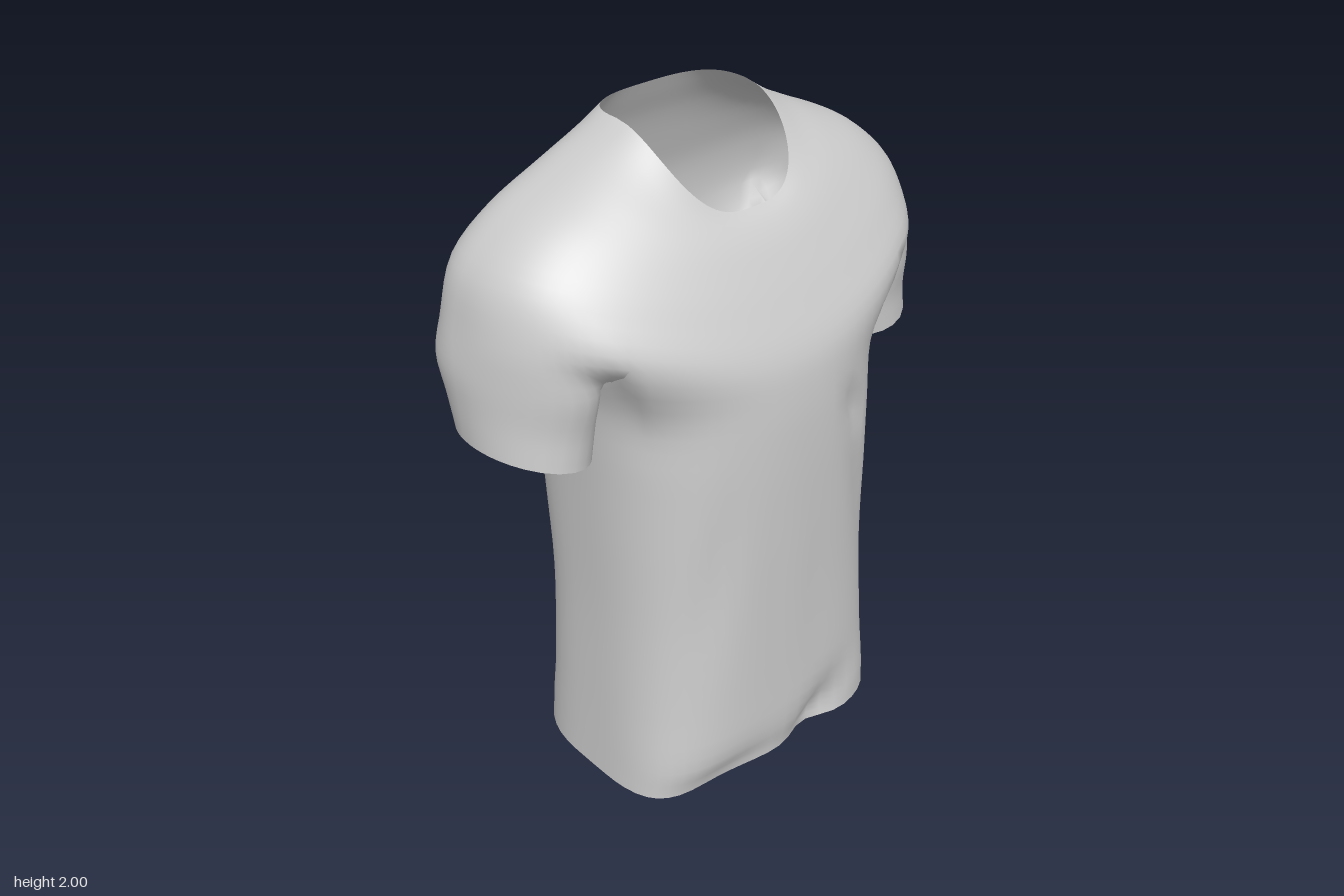
import * as THREE from 'three';
import { mergeVertices } from 'three/addons/utils/BufferGeometryUtils.js';

const N = 96;            // points around the yoke
const FRONT = 13, BACK = 15; // where the armholes cut the yoke ring
const BRIDGE = 12;       // points across each underarm
const STEPS = 4;         // rows between two cross-sections
const HALF = N / 2;
const { lerp } = THREE.MathUtils;
const V = (x, y, z) => new THREE.Vector3(x, y, z);
const spow = (v, e) => Math.sign(v) * Math.abs(v) ** e;

// Yoke sections, neck to armhole:
// half width, side y, front y, front z, back y, back z, front squareness, drop curve
const YOKE = [
  [0.225, 2.0, 1.78, 0.18, 2.0, -0.25, 3.0, 1.3],
  [0.30, 1.95, 1.755, 0.21, 1.95, -0.275, 2.6, 1.5],
  [0.42, 1.89, 1.71, 0.245, 1.87, -0.315, 2.3, 1.9],
  [0.58, 1.81, 1.64, 0.285, 1.76, -0.355, 2.1, 2.3],
  [0.695, 1.70, 1.55, 0.33, 1.64, -0.39, 2.1, 3],
  [0.74, 1.56, 1.42, 0.385, 1.50, -0.40, 2.1, 4],
];

// Body sections, chest to hem: y, half width, front z, back z, front squareness
const BODY = [
  [1.30, 0.48, 0.40, -0.395, 2.4],
  [1.12, 0.468, 0.40, -0.39, 2.5],
  [0.90, 0.462, 0.39, -0.375, 2.7],
  [0.60, 0.46, 0.375, -0.345, 3.0],
  [0.30, 0.47, 0.365, -0.355, 3.4],
  [0.10, 0.48, 0.36, -0.375, 3.9],
  [0.00, 0.486, 0.35, -0.38, 4.2],
];

// Sleeve sections, armhole to cuff: blend to cuff, centre x, radius x, radius z, centre z, skew
const SLEEVE = [
  [0.35, 0.615, 0.14, 0.245, -0.055, 0.045],
  [0.7, 0.614, 0.144, 0.222, -0.055, 0.03],
  [1.0, 0.612, 0.148, 0.215, -0.055, 0.01],
];

// Cloth folds: side, x, y, half width, half height, slant, depth
const FOLDS = [
  [1, 0.23, 1.16, 0.03, 0.08, -0.3, 0.03],
  [1, 0.29, 0.85, 0.04, 0.25, -0.25, 0.015],
  [1, 0.15, 0.04, 0.09, 0.13, 0.5, 0.05],
  [1, -0.24, 0.0, 0.18, 0.08, 0.6, 0.035],
  [1, -0.28, 0.75, 0.05, 0.3, 0.15, 0.014],
  [1, 0.0, 0.7, 0.05, 0.35, -0.1, -0.008],
  [-1, 0.2, 0.7, 0.05, 0.14, 0.7, 0.025],
  [-1, -0.2, 0.62, 0.05, 0.16, -0.7, 0.025],
  [-1, 0.05, 0.85, 0.04, 0.16, 0.5, 0.015],
  [-1, 0.33, 0.4, 0.06, 0.12, -0.5, 0.025],
  [-1, -0.3, 0.35, 0.06, 0.12, 0.5, 0.02],
];

function yokePoint([w, ySide, yFront, zFront, yBack, zBack, nFront, drop], j) {
  const a = (2 * Math.PI * j) / N, c = Math.cos(a), s = Math.sin(a);
  const front = s > 0, n = front ? nFront : 3, mid = -0.1;
  const reach = front ? zFront - mid : mid - zBack;
  return V(w * spow(c, 2 / n),
    lerp(ySide, front ? yFront : yBack, Math.abs(s) ** drop),
    mid + reach * spow(s, 2 / n));
}

// Project a loop point outwards onto a body section
function bodyPoint(p, [y, w, zFront, zBack, nFront]) {
  const mid = -0.03, front = p.z > mid, n = front ? nFront : 2.9;
  const d = front ? zFront - mid : mid - zBack;
  const u = p.x / w, v = (p.z - mid) / d;
  const r = (Math.abs(u) ** n + Math.abs(v) ** n) ** (-1 / n);
  return V(u * r * w, y, mid + v * r * d);
}

// Project a loop point onto a sleeve section, whose front leans in to the body
function sleevePoint(p, [t, cx, rx, rz, cz, skew]) {
  const side = Math.sign(p.x);
  const a = Math.atan2((p.z + 0.06) / 0.31, (Math.abs(p.x) - 0.62) / 0.125);
  const x = cx + rx * Math.cos(a) - skew * Math.sin(a);
  return V(side * x, lerp(p.y, 1.205 + (x - 0.612) * 0.23, t), cz + rz * Math.sin(a));
}

function addFolds(p) {
  if (Math.abs(p.x) > 0.48 || p.y > 1.4) return p;
  let push = 0;
  for (const [side, x, y, rx, ry, slant, depth] of FOLDS) {
    if (side * p.z < 0.1) continue;
    const dy = p.y - y, dx = p.x - x - slant * dy;
    push += side * depth * Math.exp(-((dx / rx) ** 2) - (dy / ry) ** 2);
  }
  p.z -= push;
  return p;
}

// Smooth a column through its sections; the points before and after only guide the tangents
function smoothColumn(points, before, after) {
  const all = [before, ...points, after].filter(Boolean);
  const curve = new THREE.CatmullRomCurve3(all);
  const spans = all.length - 1, rows = [];
  const first = before ? STEPS : 0, last = (spans - (after ? 1 : 0)) * STEPS;
  for (let i = first; i <= last; i++) {
    rows.push(addFolds(curve.getPoint(i / (spans * STEPS))));
  }
  return rows;
}

// Skin a closed ring of columns
function skin(columns, positions) {
  const put = (p) => positions.push(p.x, p.y, p.z);
  columns.forEach((col, j) => {
    const next = columns[(j + 1) % columns.length];
    for (let i = 0; i < col.length - 1; i++) {
      [col[i], next[i], col[i + 1], next[i], next[i + 1], col[i + 1]].forEach(put);
    }
  });
}

export function createModel() {
  const positions = [];

  // Shoulders and neckline, led smoothly into the body or sleeve below
  const yoke = [];
  for (let j = 0; j < N; j++) yoke.push(YOKE.map((level) => yokePoint(level, j)));
  const overBody = (j) => (j >= FRONT && j <= HALF - FRONT) || (j >= HALF + BACK && j <= N - BACK);
  skin(yoke.map((points, j) => smoothColumn(points, null,
    overBody(j) ? bodyPoint(points[5], BODY[0]) : sleevePoint(points[5], SLEEVE[0]))), positions);

  // Armhole ring pieces, each point keeping its guide from the yoke above
  const arc = (from, to) => {
    const out = [];
    for (let j = from; j <= to; j++) {
      const col = yoke[(j + N) % N];
      out.push({ p: col[5], guide: col[4] });
    }
    return out;
  };
  const bridge = (jFrom, jTo) => {
    const a = yoke[(jFrom + N) % N][5], b = yoke[(jTo + N) % N][5], out = [];
    for (let k = 1; k <= BRIDGE; k++) {
      const u = k / (BRIDGE + 1), p = a.clone().lerp(b, u);
      p.y -= 0.14 * Math.sin(Math.PI * u);
      out.push({ p, guide: null });
    }
    return out;
  };
  const loft = (loop, sections, project) => skin(loop.map(({ p, guide }) =>
    smoothColumn([p, ...sections.map((s) => project(p, s))], guide, null)), positions);

  // Body: front, right underarm, back, left underarm
  const underRight = bridge(HALF - FRONT, HALF + BACK);
  const underLeft = bridge(-BACK, FRONT);
  loft([...arc(FRONT, HALF - FRONT), ...underRight,
    ...arc(HALF + BACK, N - BACK), ...underLeft], BODY, bodyPoint);

  // Sleeves
  loft([...arc(-BACK, FRONT), ...[...underLeft].reverse()], SLEEVE, sleevePoint);
  loft([...arc(HALF - FRONT, HALF + BACK), ...[...underRight].reverse()], SLEEVE, sleevePoint);

  // Weld the pieces into one smooth cloth surface
  const raw = new THREE.BufferGeometry();
  raw.setAttribute('position', new THREE.Float32BufferAttribute(positions, 3));
  const geometry = mergeVertices(raw, 1e-4);
  geometry.computeVertexNormals();

  const cloth = new THREE.MeshStandardMaterial({ color: 0xcccccc, side: THREE.DoubleSide });
  cloth.name = 'light grey cloth';
  const shirt = new THREE.Mesh(geometry, cloth);
  shirt.name = 'shirt';

  const model = new THREE.Group();
  model.name = 'tShirt';
  model.add(shirt);
  return model;
}
